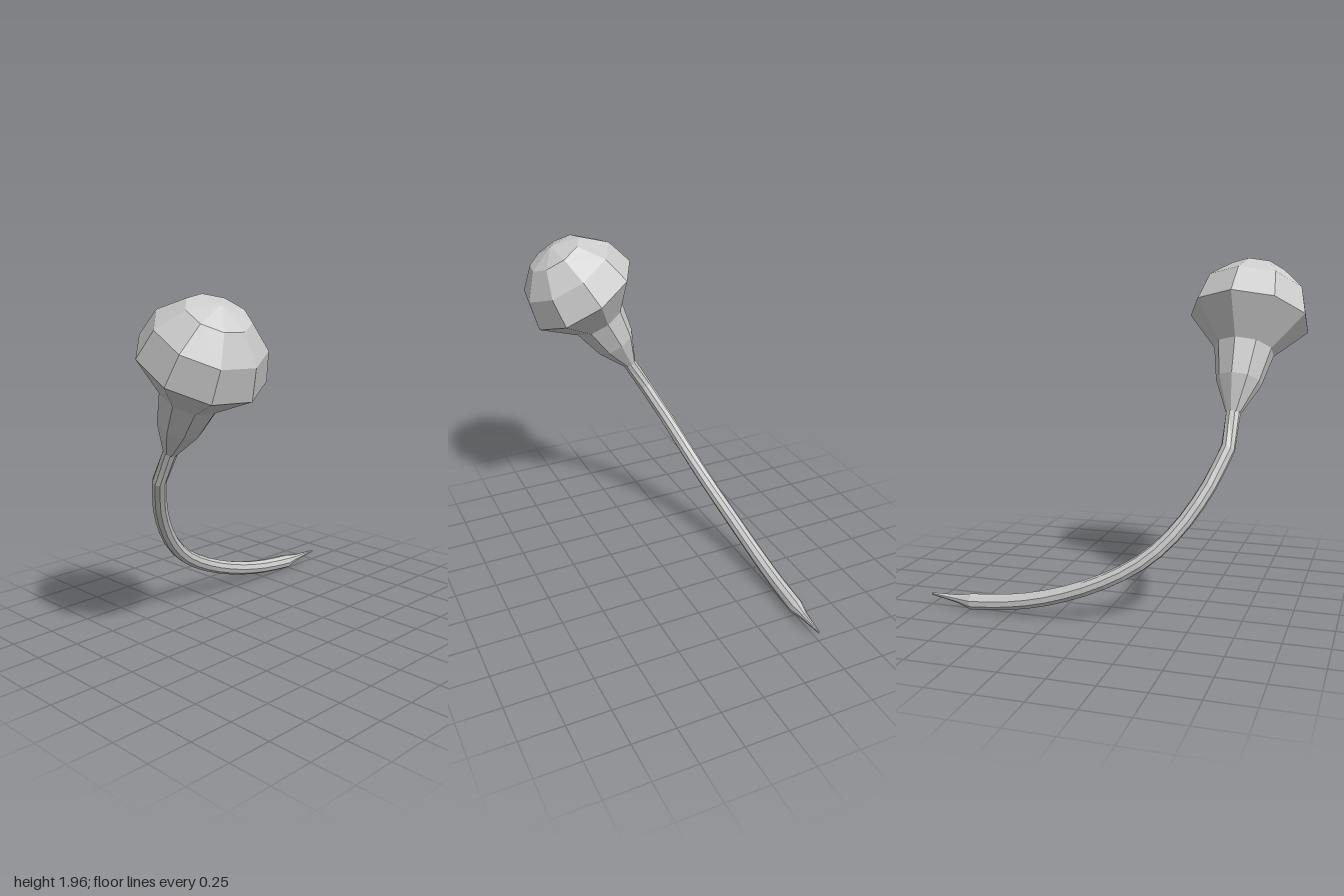
import * as THREE from 'three';

const SIDES = 9;
const v3 = (x, y, z) => new THREE.Vector3(x, y, z);

// Skin a run of rings { c: centre, t: direction, r: radius } with flat quads.
function loft(rings) {
  const pos = [], index = [];
  for (const { c, t, r } of rings) {
    const u = v3(0, 0, 1).addScaledVector(t, -t.z).normalize();
    const w = v3().crossVectors(t, u);
    for (let j = 0; j < SIDES; j++) {
      const a = (j / SIDES) * Math.PI * 2;
      const p = c.clone().addScaledVector(u, r * Math.cos(a)).addScaledVector(w, r * Math.sin(a));
      pos.push(p.x, p.y, p.z);
    }
  }
  for (let i = 0; i < rings.length - 1; i++) {
    for (let j = 0; j < SIDES; j++) {
      const k = (j + 1) % SIDES;
      const a = i * SIDES + j, b = i * SIDES + k;
      index.push(a, b, a + SIDES, b, b + SIDES, a + SIDES);
    }
  }
  const g = new THREE.BufferGeometry();
  g.setAttribute('position', new THREE.Float32BufferAttribute(pos, 3));
  g.setIndex(index);
  g.computeVertexNormals();
  return g;
}

export function createModel() {
  const group = new THREE.Group();
  const material = new THREE.MeshStandardMaterial({ color: 0xcccccc, flatShading: true });
  const add = (parent, name, geometry) => {
    const mesh = new THREE.Mesh(geometry, material);
    mesh.name = name;
    parent.add(mesh);
  };
  const lathe = (points) =>
    new THREE.LatheGeometry(points.map(([r, y]) => new THREE.Vector2(r, y)), SIDES, Math.PI / 2);

  // Head: domed cap over a tapering neck, tilted forward
  const R = 0.343;
  const axis = v3(-0.053, 0.866, 0.5).normalize();
  const centre = v3(-0.675, 1.62, 0.218);
  const head = new THREE.Group();
  head.name = 'head';
  head.position.copy(centre);
  head.quaternion.setFromUnitVectors(v3(0, 1, 0), axis);
  const dome = [0, 1, 2, 3].map((i) => {
    const a = (i * Math.PI) / 6;
    return [i === 3 ? 0 : R * Math.cos(a), R * Math.sin(a)];
  });
  add(head, 'cap', lathe(dome));
  add(head, 'neck', lathe([[0.041, -0.575], [0.128, -0.386], [0.17, -0.193], [R, 0]]));
  group.add(head);

  // Stem: short straight top, then a long sweep down to the side
  const top = centre.clone().addScaledVector(axis, -0.57);
  const sweep = new THREE.CatmullRomCurve3([
    v3(-0.64, 0.945, -0.172), v3(-0.55, 0.735, -0.28), v3(-0.4, 0.508, -0.38),
    v3(-0.23, 0.348, -0.445), v3(0, 0.22, -0.49), v3(0.28, 0.12, -0.512),
    v3(0.52, 0.07, -0.516), v3(0.74, 0.049, -0.514),
  ]);
  const rings = [{ c: top, t: axis.clone().negate(), r: 0.041 }];
  const STEPS = 16;
  for (let i = 0; i <= STEPS; i++) {
    const s = i / STEPS;
    rings.push({ c: sweep.getPointAt(s), t: sweep.getTangentAt(s), r: 0.041 + 0.004 * s });
  }
  add(group, 'stem', loft(rings));

  // Pointed root tip
  const along = v3(1, 0.05, 0.04).normalize();
  const tip = v3(1, 0.065, -0.498);
  add(group, 'rootTip', loft([
    rings[rings.length - 1],
    { c: v3(0.83, 0.054, -0.508), t: along, r: 0.023 },
    { c: tip, t: along, r: 0.006 },
    { c: tip, t: along, r: 0 },
  ]));

  return group;
}
